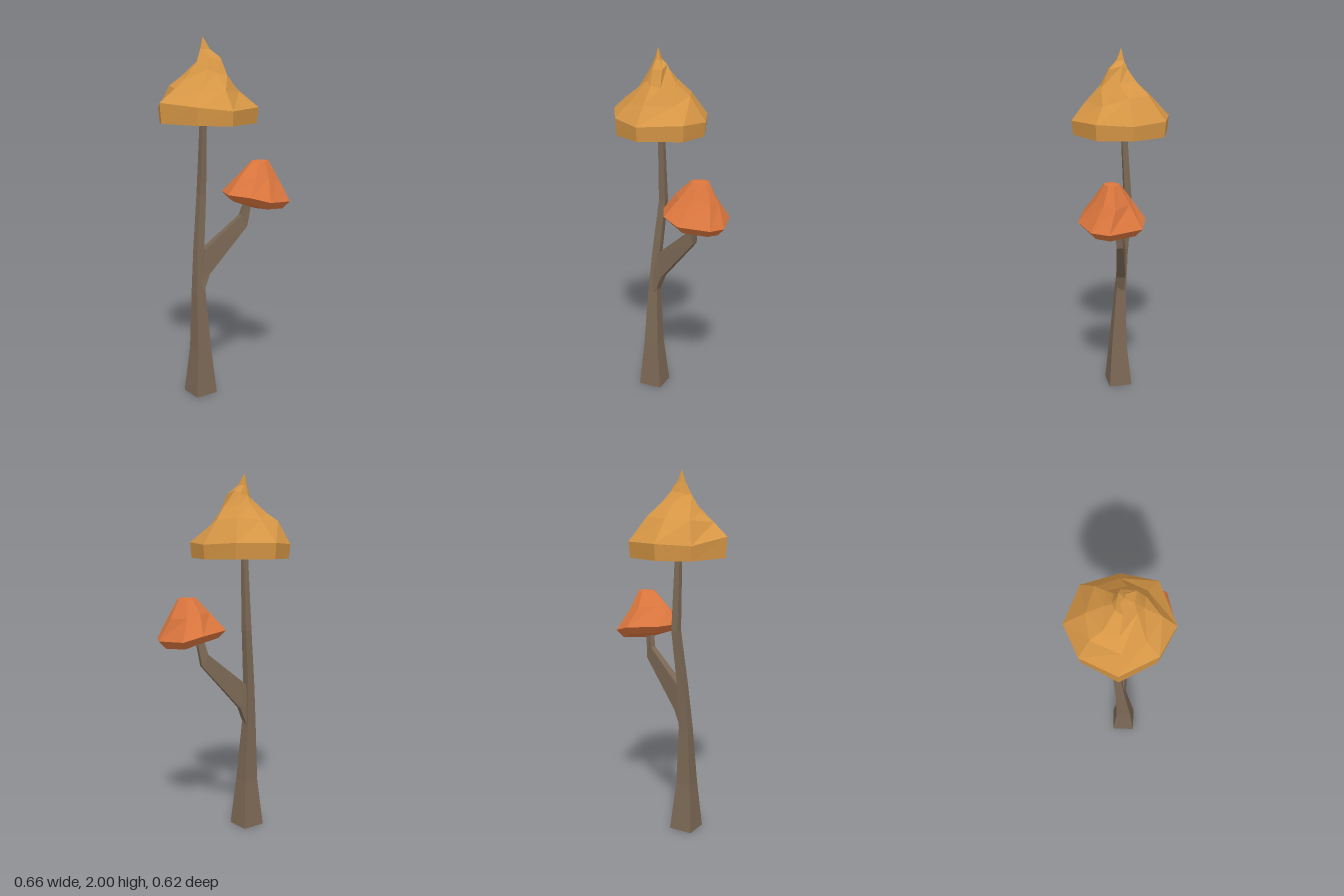
import * as THREE from 'three';

// Skins cross-section loops (clockwise seen from above) from bottom to top, with faceted normals.
function loft(rings, bottom, top) {
  const pos = [];
  const tri = (a, b, c) => pos.push(...a, ...b, ...c);
  const n = rings[0].length;
  const last = rings[rings.length - 1];
  for (let i = 0; i < n; i++) {
    const j = (i + 1) % n;
    tri(bottom, rings[0][i], rings[0][j]);
    for (let k = 0; k < rings.length - 1; k++) {
      const lo = rings[k], hi = rings[k + 1];
      tri(lo[j], lo[i], hi[i]);
      tri(lo[j], hi[i], hi[j]);
    }
    tri(top, last[j], last[i]);
  }
  const g = new THREE.BufferGeometry();
  g.setAttribute('position', new THREE.Float32BufferAttribute(pos, 3));
  g.computeVertexNormals();
  return g;
}

// Copies a loop, scaled sideways about a centre, with its height set by a rule.
const inset = (ring, [cx, cz], s, height) =>
  ring.map(([x, y, z]) => [cx + (x - cx) * s, height(y), cz + (z - cz) * s]);

export function createModel() {
  const group = new THREE.Group();
  const paint = (name, color) => {
    const m = new THREE.MeshStandardMaterial({ color });
    m.name = name;
    return m;
  };
  const bark = paint('bark brown', 0x7b6855);
  const amber = paint('amber', 0xd69645);
  const orange = paint('burnt orange', 0xdb763e);
  const add = (name, geometry, material) => {
    const mesh = new THREE.Mesh(geometry, material);
    mesh.name = name;
    group.add(mesh);
  };

  // Four-sided tapering trunk: x, y, z of the centre and half extent
  const trunk = [
    [-0.09, 0, 0.10, 0.09], [-0.088, 0.27, 0.102, 0.058], [-0.102, 0.6, 0.096, 0.038],
    [-0.109, 0.84, 0.078, 0.03], [-0.111, 1.15, 0.042, 0.026], [-0.09, 1.57, 0.053, 0.019],
  ].map(([x, y, z, r]) => [[-0.33, -1], [1, -0.33], [0.33, 1], [-1, 0.33]]
    .map(([u, v]) => [x + u * r, y, z + v * r]));
  add('trunk', loft(trunk, [-0.09, 0, 0.10], [-0.09, 1.57, 0.053]), bark);

  // Side branch: lower edge centre, upper edge centre, half width
  const branch = [
    [[-0.085, 0.6, 0.08], [-0.11, 0.66, 0.1], 0.025],
    [[-0.065, 0.7, 0.045], [-0.085, 0.84, 0.065], 0.025],
    [[0.085, 0.955, -0.125], [0.06, 1.02, -0.1], 0.017],
    [[0.115, 1.12, -0.135], [0.09, 1.12, -0.11], 0.014],
  ].map(([lo, up, w]) => [[lo, -w], [lo, w], [up, w], [up, -w]]
    .map(([p, s]) => [p[0] + 0.77 * s, p[1], p[2] + 0.64 * s]));
  add('branch', loft(branch, [-0.097, 0.63, 0.09], [0.102, 1.12, -0.122]), bark);

  // Large swirled crown, from rim to tip
  const rim = [
    [-0.165, 1.63, -0.205], [0.04, 1.62, -0.18], [0.19, 1.63, -0.055], [0.165, 1.62, 0.19],
    [0.015, 1.64, 0.3], [-0.205, 1.66, 0.31], [-0.33, 1.62, 0.13], [-0.325, 1.63, -0.055],
  ];
  const shoulder = [
    [-0.125, 1.76, -0.11], [0.0, 1.75, -0.1], [0.1, 1.71, 0.0], [0.1, 1.72, 0.15],
    [-0.02, 1.71, 0.23], [-0.155, 1.73, 0.24], [-0.26, 1.745, 0.12], [-0.22, 1.75, -0.01],
  ];
  const swirl = [
    [-0.1, 1.83, -0.035], [0.0, 1.82, -0.02], [0.06, 1.8, 0.06], [0.025, 1.81, 0.11],
    [-0.02, 1.83, 0.13], [-0.13, 1.78, 0.175], [-0.19, 1.79, 0.12], [-0.14, 1.83, 0.03],
  ];
  const neck = [
    [-0.085, 1.89, 0.015], [-0.05, 1.91, 0.02], [0.015, 1.89, 0.05], [-0.02, 1.89, 0.1],
    [-0.05, 1.88, 0.11], [-0.09, 1.87, 0.12], [-0.11, 1.87, 0.085], [-0.11, 1.88, 0.055],
  ];
  const peak = inset(neck, [-0.085, 0.066], 0.4, () => 1.935);
  const brim = inset(rim, [-0.07, 0.055], 0.97, y => 1.545 + (y - 1.63) * 0.2);
  add('largeCrown', loft([brim, rim, shoulder, swirl, neck, peak],
    [-0.08, 1.55, 0.055], [-0.083, 2.0, 0.068]), amber);

  // Small tilted crown
  const smallRim = [
    [0.09, 1.11, -0.313], [0.27, 1.1, -0.265], [0.328, 1.107, -0.185], [0.287, 1.12, -0.02],
    [0.2, 1.15, 0.05], [0.06, 1.155, 0.045], [-0.035, 1.155, -0.06], [0.008, 1.14, -0.245],
  ];
  const smallShoulder = [
    [0.11, 1.23, -0.235], [0.21, 1.22, -0.24], [0.25, 1.235, -0.19], [0.235, 1.24, -0.1],
    [0.19, 1.24, -0.03], [0.1, 1.25, -0.02], [0.055, 1.25, -0.08], [0.06, 1.25, -0.18],
  ];
  const smallTop = inset(smallShoulder, [0.165, -0.155], 0.43, () => 1.33);
  const underside = inset(smallRim, [0.14, -0.135], 0.78, y => y - 0.042);
  add('smallCrown', loft([underside, smallRim, smallShoulder, smallTop],
    [0.14, 1.06, -0.135], [0.165, 1.335, -0.155]), orange);

  return group;
}
